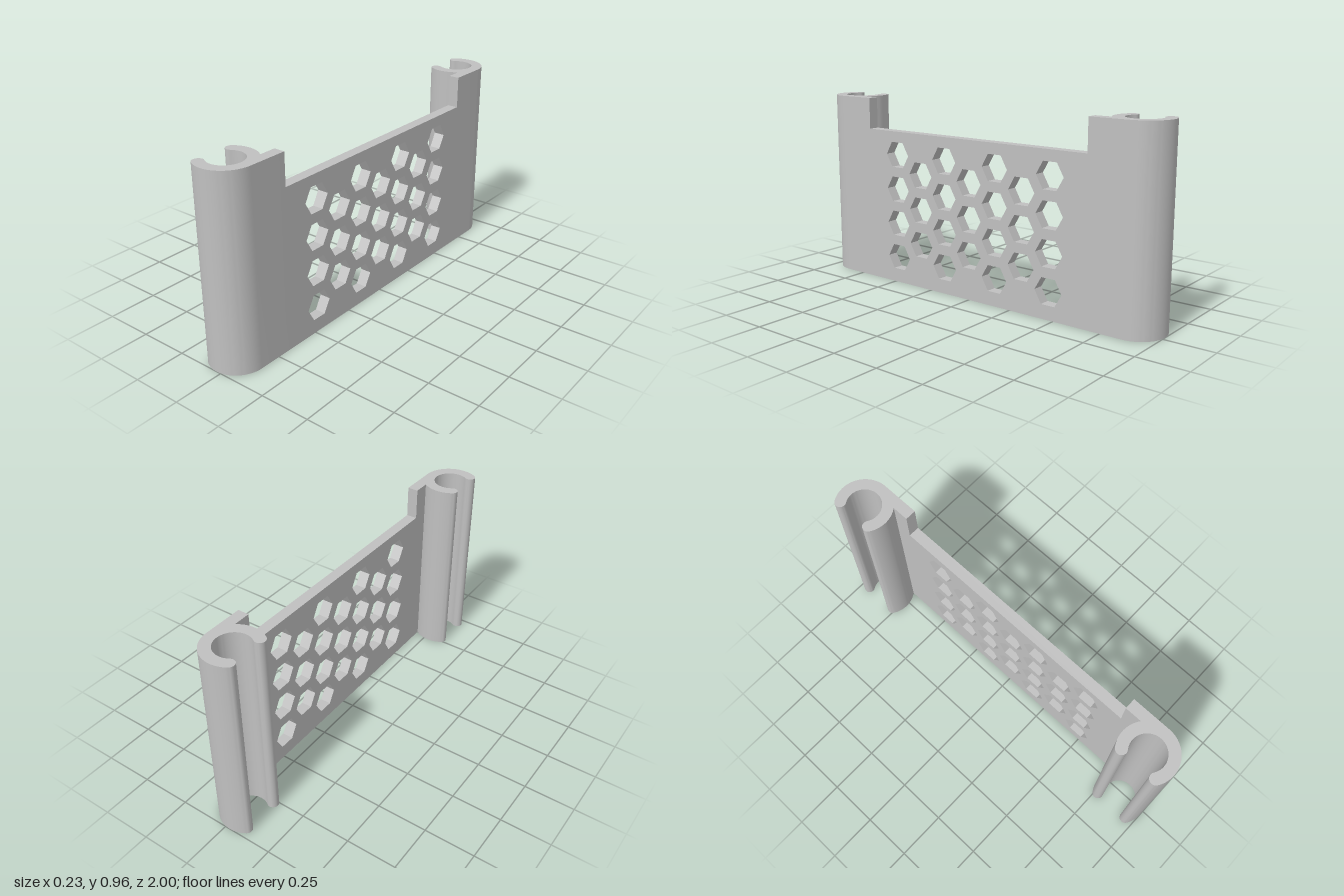
import * as THREE from 'three';
import { toCreasedNormals } from 'three/addons/utils/BufferGeometryUtils.js';

const PANEL_INNER = 0.06, PANEL_OUTER = 0.115, THICK = 0.055;
const PANEL_HEIGHT = 0.8, CLIP_HEIGHT = 0.96, PANEL_END = 0.665;
const CX = -0.025, CZ = 0.86;            // clip centre
const R_OUT = 0.14, R_IN = 0.085;        // clip radii
const OPEN = THREE.MathUtils.degToRad(124); // half-sweep of the clip

// Points along an arc, both ends included
function arc(cx, cy, r, from, to, steps) {
  return Array.from({ length: steps + 1 }, (_, i) => {
    const a = from + (to - from) * i / steps;
    return new THREE.Vector2(cx + r * Math.cos(a), cy + r * Math.sin(a));
  });
}

// Rounded lip joining the two clip walls at a given angle
function lip(angle, from, to) {
  const rm = (R_OUT + R_IN) / 2;
  return arc(CX + rm * Math.cos(angle), CZ + rm * Math.sin(angle), THICK / 2, from, to, 12).slice(1, -1);
}

// C-shaped clip with the tall strip of panel beside it
function clipGeometry(side) {
  const join = Math.acos((PANEL_INNER - CX) / R_OUT);
  const outline = [
    new THREE.Vector2(PANEL_OUTER, PANEL_END),
    ...arc(CX, CZ, R_OUT, 0, OPEN, 28),
    ...lip(OPEN, OPEN, OPEN + Math.PI),
    ...arc(CX, CZ, R_IN, OPEN, -OPEN, 48),
    ...lip(-OPEN, Math.PI - OPEN, 2 * Math.PI - OPEN),
    ...arc(CX, CZ, R_OUT, -OPEN, -join, 16),
    new THREE.Vector2(PANEL_INNER, PANEL_END),
  ];
  const shape = new THREE.Shape(outline.map(p => new THREE.Vector2(p.x, -side * p.y)));
  const geo = new THREE.ExtrudeGeometry(shape, { depth: CLIP_HEIGHT, bevelEnabled: false });
  geo.rotateX(-Math.PI / 2);
  return toCreasedNormals(geo, 0.5);
}

// Flat panel with staggered hexagonal holes
function panelGeometry() {
  const shape = new THREE.Shape([
    new THREE.Vector2(-PANEL_END, 0), new THREE.Vector2(PANEL_END, 0),
    new THREE.Vector2(PANEL_END, PANEL_HEIGHT), new THREE.Vector2(-PANEL_END, PANEL_HEIGHT),
  ]);
  for (let col = -3; col <= 3; col++) {
    const tall = col % 2 !== 0;          // outermost columns hold four holes
    const rows = tall ? 4 : 3;
    for (let row = 0; row < rows; row++) {
      const y = 0.408 + (row - (rows - 1) / 2) * 0.181;
      shape.holes.push(new THREE.Path(arc(col * 0.157, y, 0.075, 0, -Math.PI * 5 / 3, 5)));
    }
  }
  const geo = new THREE.ExtrudeGeometry(shape, { depth: THICK, bevelEnabled: false });
  geo.rotateY(Math.PI / 2);
  geo.translate(PANEL_INNER, 0, 0);
  return geo;
}

export function createModel() {
  const group = new THREE.Group();
  group.name = 'clipOnPanel';
  const grey = new THREE.MeshStandardMaterial({ color: 0xc0c0c0 });
  grey.name = 'grey';

  const add = (name, geo) => {
    const mesh = new THREE.Mesh(geo, grey);
    mesh.name = name;
    group.add(mesh);
  };
  add('perforatedPanel', panelGeometry());
  add('frontClip', clipGeometry(1));
  add('backClip', clipGeometry(-1));
  return group;
}
